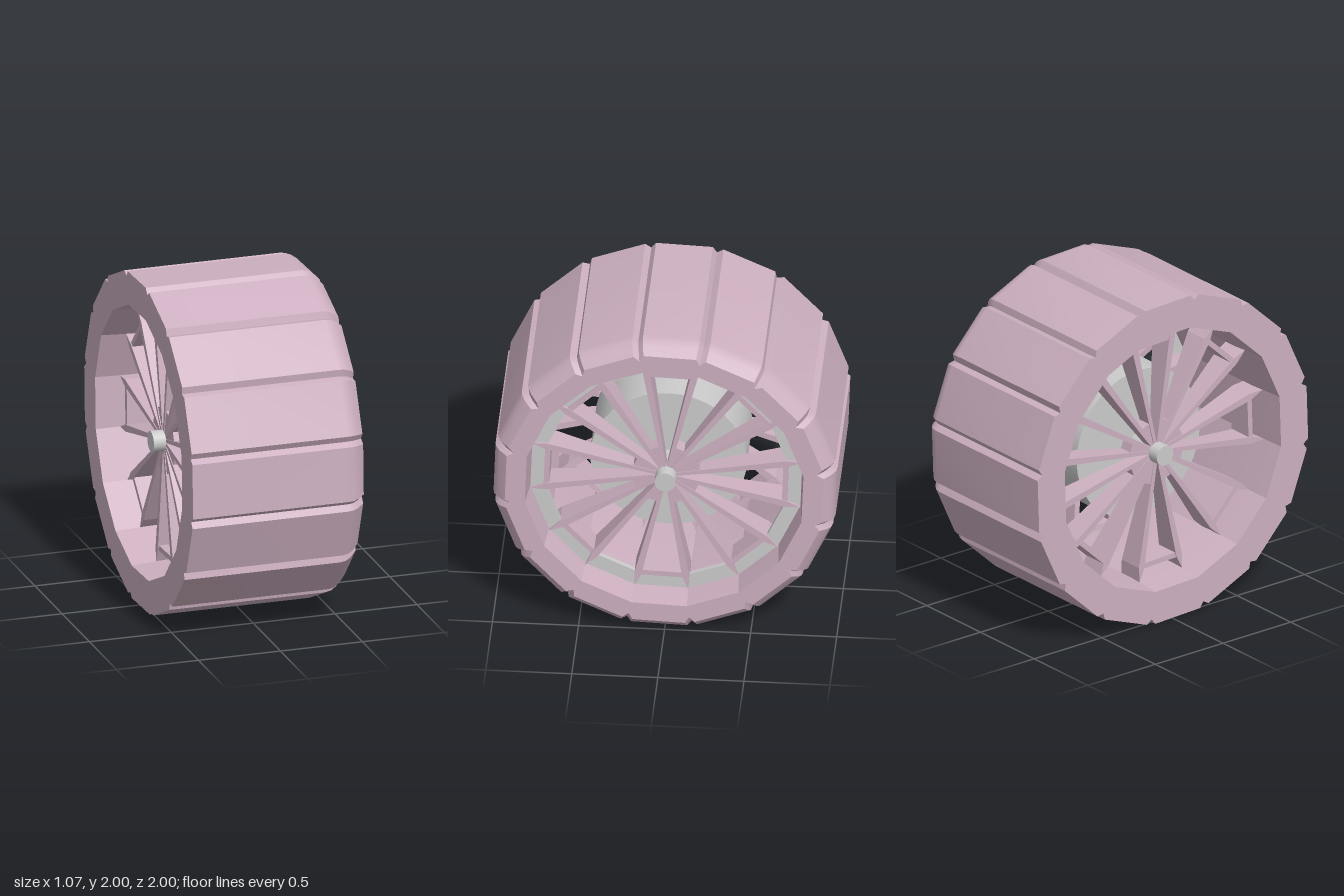
import * as THREE from 'three';
import { toCreasedNormals } from 'three/addons/utils/BufferGeometryUtils.js';

const SIDES = 16;
const STEP = (Math.PI * 2) / SIDES;
const START = THREE.MathUtils.degToRad(9.2);
const NOTCH = THREE.MathUtils.degToRad(1.8);

const tinted = new THREE.MeshStandardMaterial({ color: 0xcdb0c1, side: THREE.DoubleSide });
const grey = new THREE.MeshStandardMaterial({ color: 0xcccccc, side: THREE.DoubleSide });

// Point at radius r, angle a measured from straight up, with a sideways offset
const polar = (r, a, side = 0) => new THREE.Vector2(
  -Math.sin(a) * r - Math.cos(a) * side,
  Math.cos(a) * r - Math.sin(a) * side,
);

function addMesh(parent, name, geometry, material) {
  const mesh = new THREE.Mesh(geometry, material);
  mesh.name = name;
  parent.add(mesh);
}

// Flat plate between two depths along the axle
function plate(shape, back, front) {
  const g = new THREE.ExtrudeGeometry(shape, { depth: front - back, bevelEnabled: false });
  return g.translate(0, 0, back);
}

// Plate whose back slopes, thin at the hub and deep at the rim
function wedge(shape, front) {
  const g = plate(shape, 0, front);
  const p = g.attributes.position;
  for (let i = 0; i < p.count; i++) {
    if (p.getZ(i) < front / 2) p.setZ(i, front - 0.06 - 0.14 * Math.hypot(p.getX(i), p.getY(i)));
  }
  g.computeVertexNormals();
  return g;
}

// Tyre: sixteen-sided rings joined along a closed profile, with shallow V grooves at the corners
function tyreGeometry() {
  // [axial position, radius, groove depth]
  const profile = [
    [-0.533, 1.008, 0.03], [0.42, 1.008, 0.03], [0.455, 1.001, 0.03], [0.49, 0.979, 0.032], [0.533, 0.934, 0.035],
    [0.533, 0.82, 0], [0.3, 0.795, 0], [-0.3, 0.795, 0], [-0.533, 0.81, 0],
  ];
  const n = SIDES * 3;
  const positions = [];
  for (const [z, r, depth] of profile) {
    const chord = r * Math.cos(STEP / 2) / Math.cos(STEP / 2 - NOTCH);
    for (let i = 0; i < SIDES; i++) {
      for (const k of [-1, 0, 1]) {
        const radius = k === 0 ? r - depth : (depth > 0 ? r : chord);
        const p = polar(radius, START + i * STEP + k * NOTCH);
        positions.push(p.x, p.y, z);
      }
    }
  }
  const index = [];
  for (let i = 0; i < profile.length; i++) {
    const next = (i + 1) % profile.length;
    for (let j = 0; j < n; j++) {
      const k = (j + 1) % n;
      const a = i * n + j, b = i * n + k, c = next * n + k, d = next * n + j;
      index.push(a, b, c, a, c, d);
    }
  }
  const g = new THREE.BufferGeometry();
  g.setAttribute('position', new THREE.Float32BufferAttribute(positions, 3));
  g.setIndex(index);
  return toCreasedNormals(g, 0.38);
}

// One set of blades, with outer bars and inner webs between alternate neighbours
function spokeSet(name, front) {
  const set = new THREE.Group();
  set.name = name;
  for (let i = 0; i < SIDES; i++) {
    const a = START + i * STEP, b = a + STEP;
    const blade = new THREE.Shape([
      polar(0.03, a, -0.01), polar(0.71, a, -0.021), polar(0.8, a),
      polar(0.71, a, 0.021), polar(0.03, a, 0.01),
    ]);
    addMesh(set, 'spoke', wedge(blade, front), tinted);
    if (i % 2) {
      const bar = new THREE.Shape([polar(0.69, a), polar(0.722, a), polar(0.722, b), polar(0.69, b)]);
      addMesh(set, 'outerBar', wedge(bar, front - 0.005), tinted);
    } else {
      const web = new THREE.Shape([polar(0.05, a), polar(0.2, a), polar(0.2, b), polar(0.05, b)]);
      addMesh(set, 'innerWeb', wedge(web, front - 0.005), tinted);
    }
  }
  return set;
}

export function createModel() {
  const model = new THREE.Group();
  model.name = 'wheel';

  // Built around the z axis, then turned so the axle lies along x
  const wheel = new THREE.Group();
  wheel.name = 'wheelAssembly';
  wheel.position.y = 1;
  wheel.rotation.y = Math.PI / 2;
  model.add(wheel);

  addMesh(wheel, 'tyre', tyreGeometry(), tinted);

  // Rim ring just behind the faces of the outer spokes
  const corners = (r) => Array.from({ length: SIDES }, (_, i) => polar(r, START + i * STEP));
  const ring = new THREE.Shape(corners(0.8));
  ring.holes.push(new THREE.Path(corners(0.712)));
  addMesh(wheel, 'rimRing', plate(ring, 0.34, 0.37), grey);

  // Spokes on the outer side, mirrored to the inner side
  const innerSpokes = spokeSet('innerSpokes', 0.385);
  innerSpokes.scale.z = -1;
  wheel.add(spokeSet('outerSpokes', 0.385), innerSpokes);

  // Axle and central drum
  addMesh(wheel, 'axle', new THREE.CylinderGeometry(0.062, 0.062, 0.92, 20).rotateX(Math.PI / 2), grey);
  addMesh(wheel, 'centralDrum', new THREE.CylinderGeometry(0.455, 0.455, 0.42, 40).rotateX(Math.PI / 2), grey);

  return model;
}
